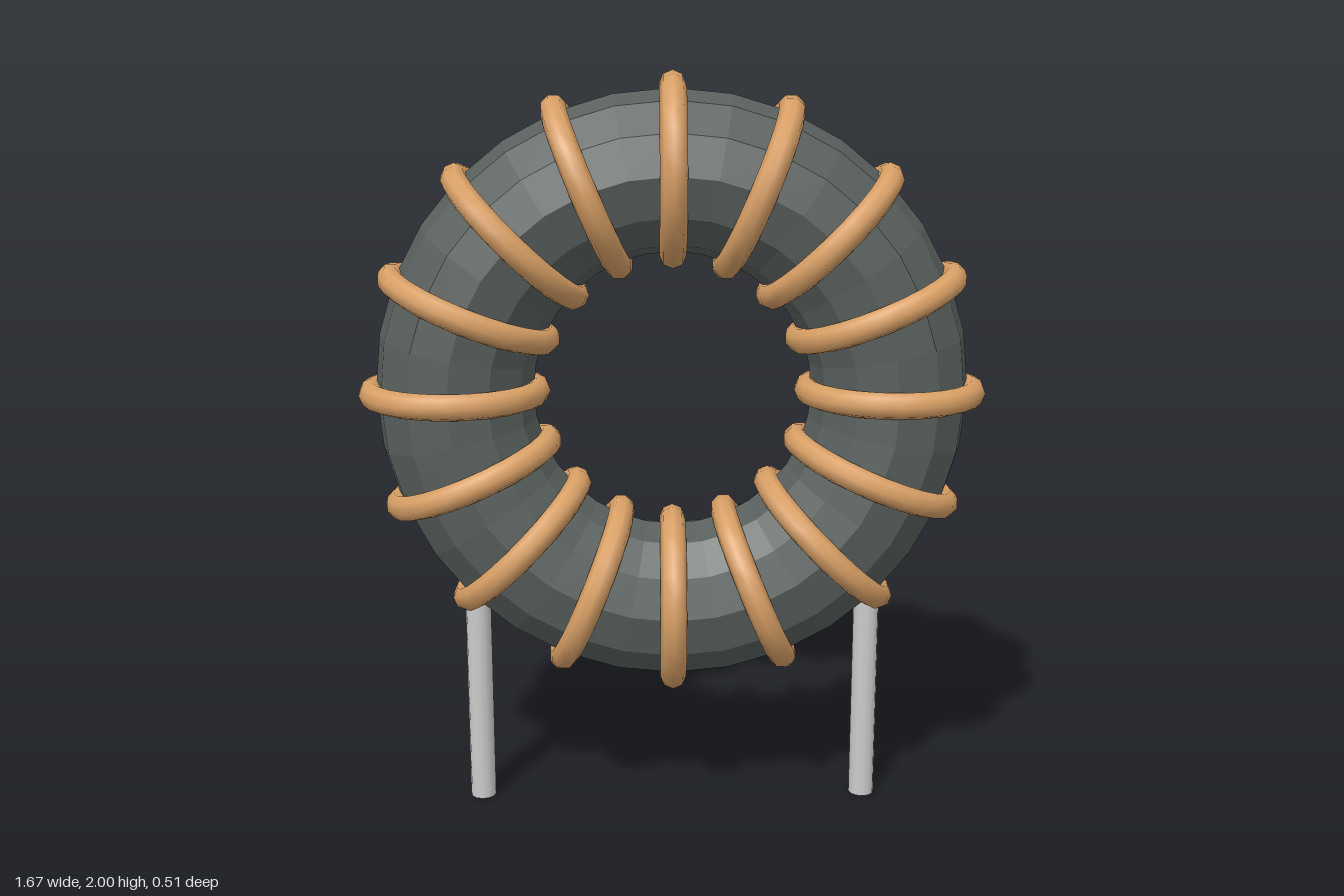
import * as THREE from 'three';

export function createModel() {
  const model = new THREE.Group();
  model.name = 'toroidalInductor';
  const centerY = 1.165, ringRadius = 0.58;

  const coreMat = new THREE.MeshStandardMaterial({ color: 0x59605e, flatShading: true });
  const copperMat = new THREE.MeshStandardMaterial({ color: 0xd9a066 });
  const leadMat = new THREE.MeshStandardMaterial({ color: 0xcccccc });

  // Faceted ring core
  const core = new THREE.Mesh(new THREE.TorusGeometry(ringRadius, 0.21, 12, 32), coreMat);
  core.name = 'core';
  core.position.y = centerY;
  model.add(core);

  // Wire loops spaced evenly round the core
  const windings = new THREE.Group();
  windings.name = 'windings';
  windings.position.y = centerY;
  const loopGeo = new THREE.TorusGeometry(0.22, 0.035, 8, 24).rotateX(Math.PI / 2);
  const count = 16;
  for (let i = 0; i < count; i++) {
    const angle = (i / count) * Math.PI * 2;
    const loop = new THREE.Mesh(loopGeo, copperMat);
    loop.name = `wireLoop${i + 1}`;
    loop.position.set(Math.cos(angle) * ringRadius, Math.sin(angle) * ringRadius, 0);
    loop.rotation.z = angle;
    windings.add(loop);
  }
  model.add(windings);

  // Straight leads running up into the core
  const leadHeight = 0.62;
  const leadGeo = new THREE.CylinderGeometry(0.035, 0.035, leadHeight, 12);
  for (const side of [1, -1]) {
    const lead = new THREE.Mesh(leadGeo, leadMat);
    lead.name = side > 0 ? 'leftLead' : 'rightLead';
    lead.position.set(side * 0.535, leadHeight / 2, 0);
    model.add(lead);
  }
  return model;
}
